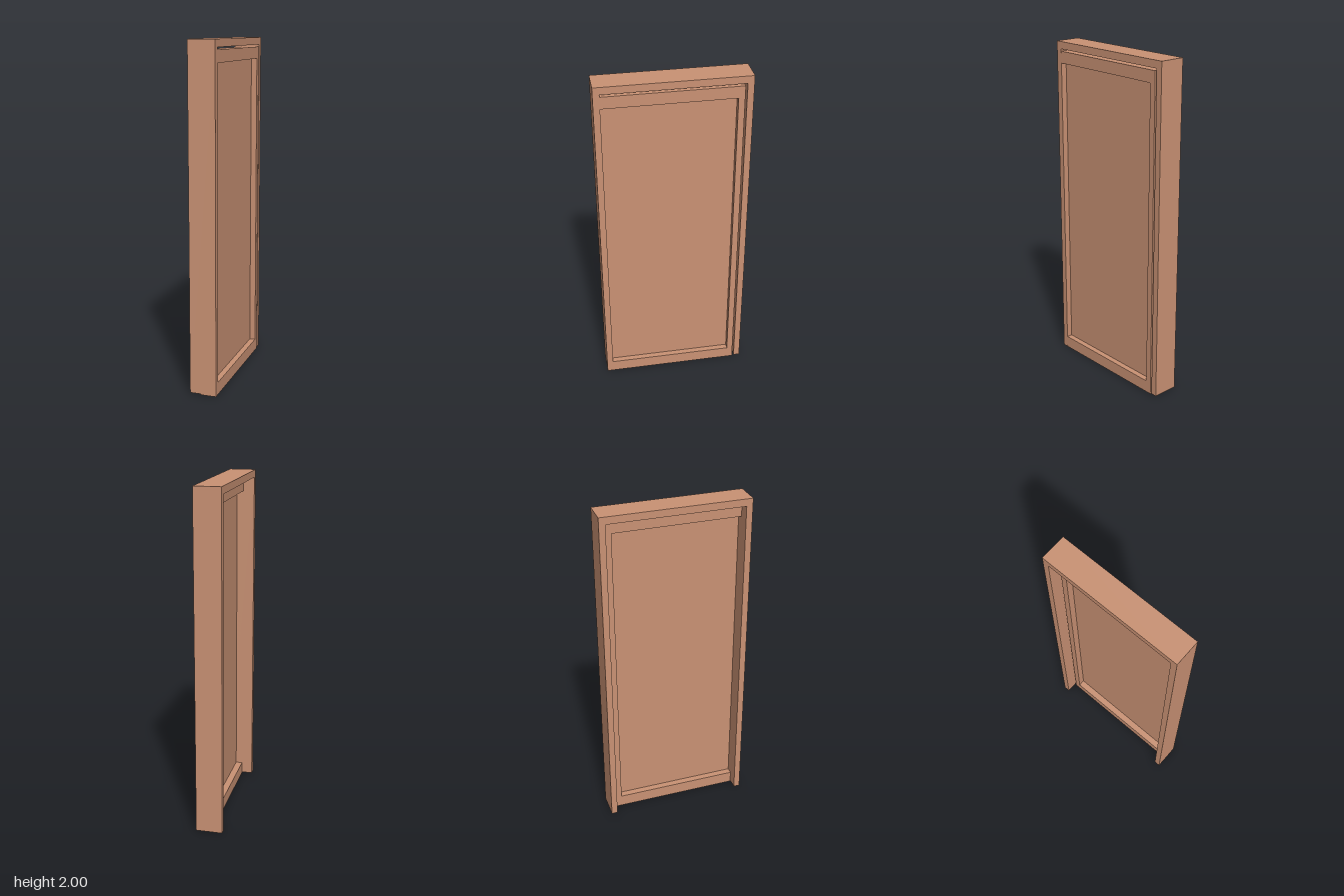
import * as THREE from 'three';

const material = new THREE.MeshStandardMaterial({ color: 0xca9274 });

// Closed outline from [z, y] pairs
const outline = (points, Type = THREE.Shape) =>
  new Type(points.map(([z, y]) => new THREE.Vector2(z, y)));

const rect = (z0, z1, y0, y1) => [[z0, y0], [z1, y0], [z1, y1], [z0, y1]];

// Extrudes a z-y outline through the wall thickness, from x0 to x1
function slab(name, shape, x0, x1) {
  const geometry = new THREE.ExtrudeGeometry(shape, { depth: x1 - x0, bevelEnabled: false });
  geometry.rotateY(-Math.PI / 2).translate(x1, 0, 0);
  const mesh = new THREE.Mesh(geometry, material);
  mesh.name = name;
  return mesh;
}

export function createModel() {
  const model = new THREE.Group();
  model.name = 'door';

  const halfWidth = 0.434, jambInside = 0.397, halfDepth = 0.078;
  const jambBottom = 0.006, headBottom = 1.957;

  // Jambs and head, open at the floor
  model.add(slab('doorFrame', outline([
    [-halfWidth, jambBottom], [-jambInside, jambBottom],
    [-jambInside, headBottom], [jambInside, headBottom],
    [jambInside, jambBottom], [halfWidth, jambBottom],
    [halfWidth, 2], [-halfWidth, 2],
  ]), -halfDepth, halfDepth));

  // Leaf, with its hinge stile let into the front jamb
  const leaf = new THREE.Group();
  leaf.name = 'doorLeaf';
  const rails = outline(rect(-0.386, halfWidth - 0.0005, 0, 1.944));
  rails.holes.push(outline(rect(-0.35, jambInside, 0.073, 1.874), THREE.Path));
  leaf.add(slab('stilesAndRails', rails, -0.012, halfDepth - 0.0003));

  // Thin panel recessed on both faces
  leaf.add(slab('recessedPanel', outline(rect(-0.36, 0.407, 0.063, 1.884)), 0.028, 0.043));
  model.add(leaf);

  return model;
}
